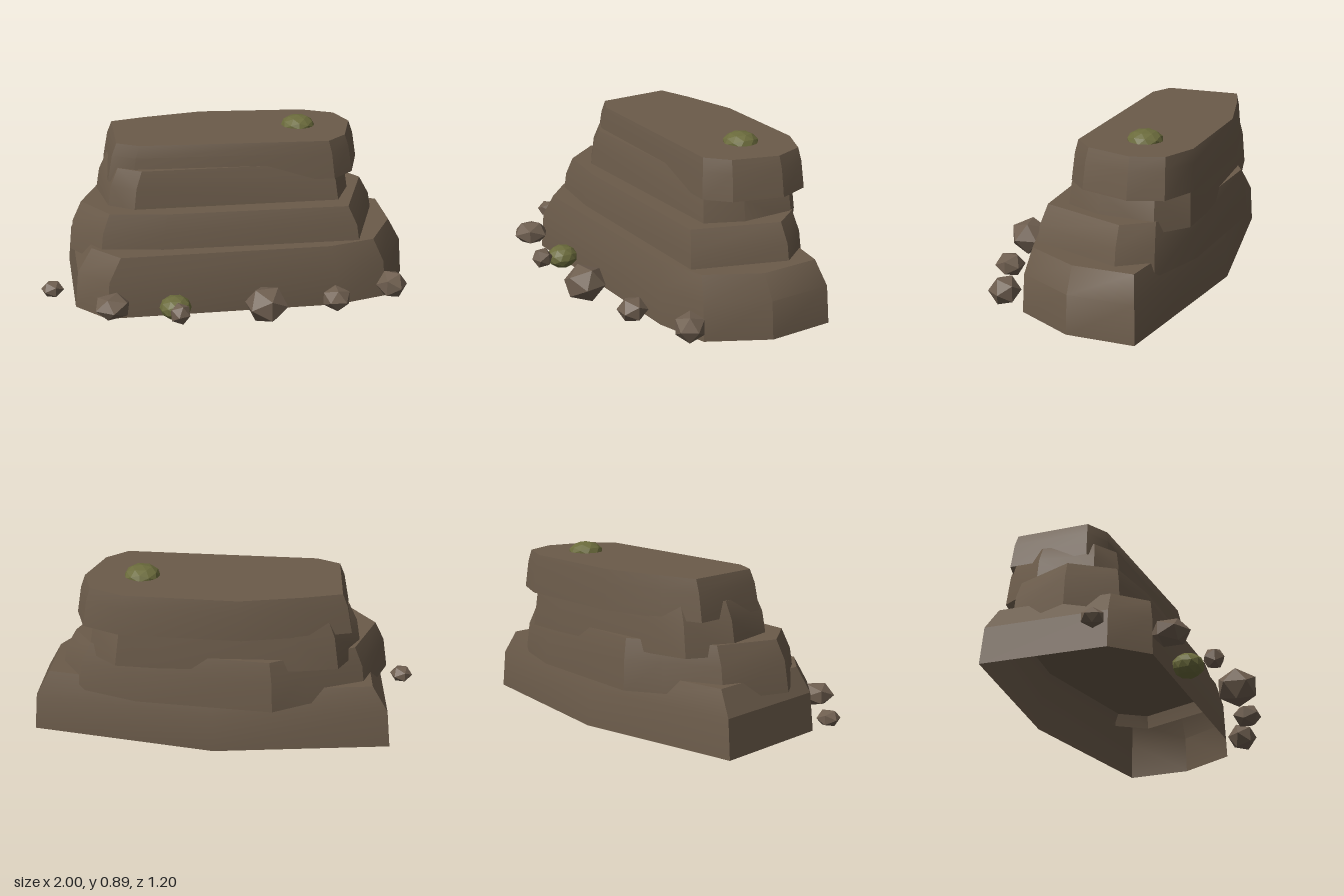
import * as THREE from 'three';
import { toCreasedNormals } from 'three/addons/utils/BufferGeometryUtils.js';

// Open-bottomed slab: outline [x, z] lofted through rings [y, scale], flat cap on top
function slabGeometry(outline, rings) {
  const n = outline.length;
  const cx = outline.reduce((s, p) => s + p[0], 0) / n;
  const cz = outline.reduce((s, p) => s + p[1], 0) / n;
  const pos = [];
  const idx = [];
  for (const [y, s] of rings) {
    for (const [x, z] of outline) pos.push(cx + (x - cx) * s, y, cz + (z - cz) * s);
  }
  for (let r = 0; r < rings.length - 1; r++) {
    for (let i = 0; i < n; i++) {
      const a = r * n + i, b = r * n + (i + 1) % n;
      idx.push(a, b, b + n, a, b + n, a + n);
    }
  }
  const top = (rings.length - 1) * n;
  pos.push(cx, rings[rings.length - 1][0], cz);
  for (let i = 0; i < n; i++) idx.push(top + i, top + (i + 1) % n, top + n);
  const g = new THREE.BufferGeometry();
  g.setAttribute('position', new THREE.Float32BufferAttribute(pos, 3));
  g.setIndex(idx);
  return toCreasedNormals(g, 0.45);
}

export function createModel() {
  const model = new THREE.Group();
  model.name = 'rockOutcrop';

  const rock = new THREE.MeshStandardMaterial({ color: 0x6b5b4a, side: THREE.DoubleSide });
  rock.name = 'rock brown';
  const stone = new THREE.MeshStandardMaterial({ color: 0x6f5f50, flatShading: true });
  stone.name = 'pebble brown';
  const moss = new THREE.MeshStandardMaterial({ color: 0x6b6b3c, flatShading: true });
  moss.name = 'moss green';

  const add = (name, geometry, material) => {
    const m = new THREE.Mesh(geometry, material);
    m.name = name;
    model.add(m);
    return m;
  };

  // Stacked rock layers, outlines run counter-clockwise seen from above
  const layers = [
    ['baseLayer',
      [[1, -0.12], [0.985, -0.47], [0.02, -0.6], [-0.88, -0.45], [-0.82, 0.2], [-0.65, 0.36],
        [0.58, 0.28], [0.85, 0.19]],
      [[0, 1], [0.2, 0.98], [0.325, 0.9]]],
    ['lowerLayer',
      [[0.86, -0.31], [0.74, -0.47], [0.42, -0.57], [-0.28, -0.605], [-0.45, -0.5], [-0.74, -0.36],
        [-0.85, -0.02], [-0.68, 0.2], [-0.35, 0.23], [0.71, 0.18]],
      [[0.25, 1], [0.41, 0.97], [0.51, 0.91]]],
    ['middleLayer',
      [[0.69, -0.15], [0.61, 0.05], [-0.5, 0.115], [-0.64, 0.04], [-0.71, -0.25], [-0.6, -0.48],
        [-0.4, -0.53], [0.3, -0.575], [0.52, -0.57], [0.68, -0.44]],
      [[0.45, 1], [0.62, 0.96], [0.71, 0.9]]],
    ['topLayer',
      [[0.755, -0.33], [0.69, -0.5], [0.5, -0.58], [-0.12, -0.585], [-0.45, -0.5], [-0.66, -0.43],
        [-0.63, -0.01], [-0.5, 0.05], [0.58, 0.04], [0.69, -0.07]],
      [[0.63, 1], [0.77, 0.965], [0.835, 0.93]]],
  ];
  for (const [name, outline, rings] of layers) add(name, slabGeometry(outline, rings), rock);

  // Loose pebbles along the foot: x, y, z, radius, half height, turn
  const pebbles = [
    [-0.94, 0.1, 0.18, 0.062, 0.042, 0.4],
    [-0.62, 0.11, 0.44, 0.1, 0.06, 1.1],
    [-0.275, 0.1, 0.53, 0.058, 0.052, 2.0],
    [0.17, 0.12, 0.495, 0.115, 0.092, 0.2],
    [0.545, 0.105, 0.42, 0.08, 0.06, 1.6],
    [0.865, 0.11, 0.28, 0.083, 0.072, 2.6],
  ];
  pebbles.forEach(([x, y, z, r, h, turn], i) => {
    const p = add('pebble' + (i + 1), new THREE.IcosahedronGeometry(1, 0), stone);
    p.position.set(x, y, z);
    p.scale.set(r, h * 1.1, r);
    p.rotation.y = turn;
  });

  // Moss clumps on the ground and on the top
  [[-0.295, 0.075, 0.4, 0.084, 0.062], [0.418, 0.83, -0.288, 0.094, 0.058]].forEach(([x, y, z, r, h], i) => {
    const m = add('mossClump' + (i + 1), new THREE.IcosahedronGeometry(1, 1), moss);
    m.position.set(x, y, z);
    m.scale.set(r, h, r);
  });

  return model;
}
